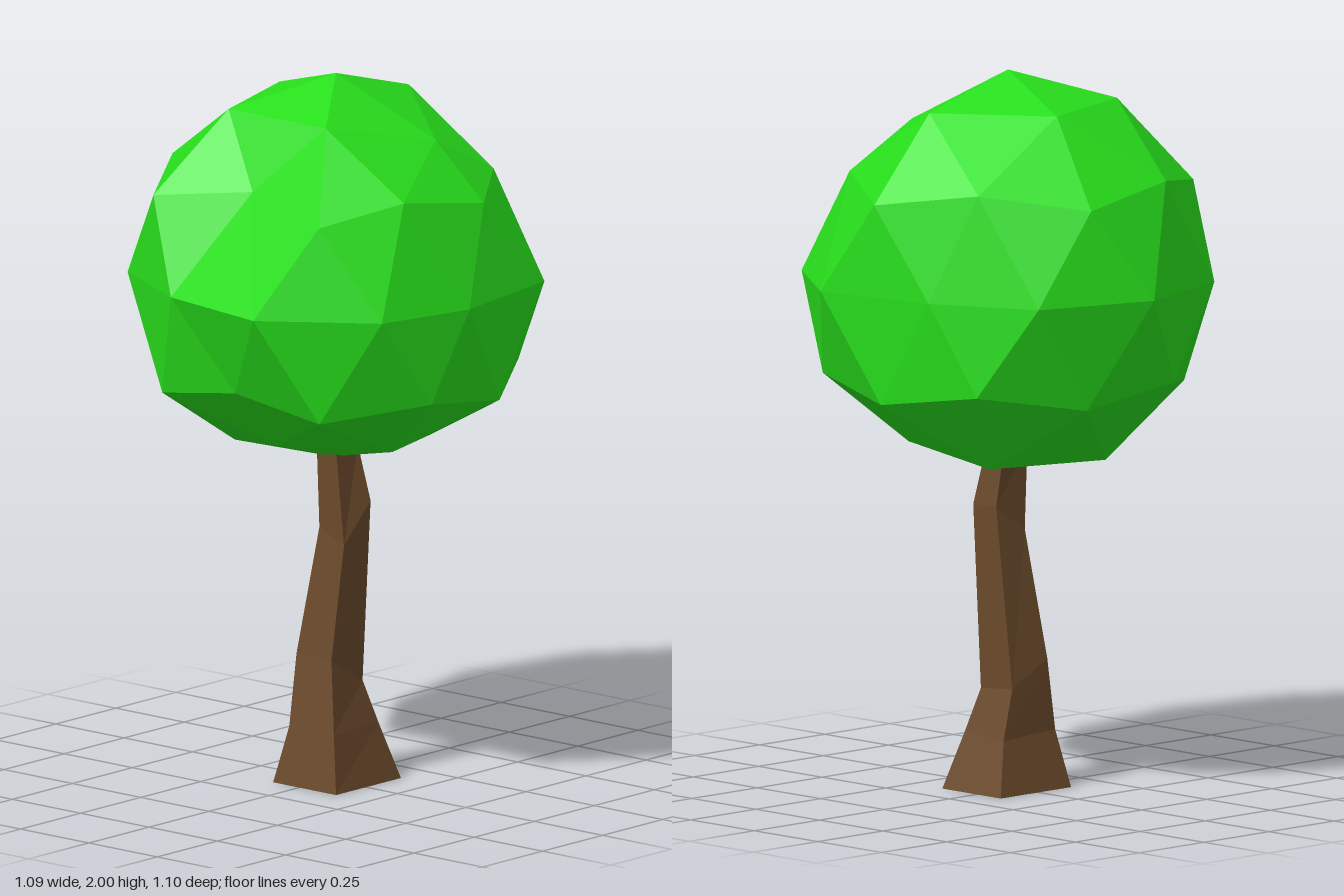
import * as THREE from 'three';

const R = 0.575, CY = 1.425, CZ = 0.025;

// Low-poly ball with a vertex at the top; a few vertices are pulled in as dents.
function foliage() {
  const geo = new THREE.IcosahedronGeometry(R, 1);
  geo.rotateZ(-Math.atan2(1, (1 + Math.sqrt(5)) / 2));
  geo.translate(0, CY, CZ);
  // [vertex of the regular ball, where it is moved]
  const dents = [
    [[0.09, 1.91, 0.31], [0.09, 1.84, 0.31]],
    [[0.40, 1.73, 0.31], [0.32, 1.72, 0.32]],
    [[0.16, 1.68, 0.51], [0.12, 1.68, 0.46]],
    [[-0.15, 1.73, 0.49], [-0.19, 1.73, 0.44]],
    [[0, 1.425, 0.60], [-0.035, 1.42, 0.545]],
    [[-0.49, 1.73, 0.025], [-0.33, 1.72, 0.01]],
    [[0.55, 1.425, -0.15], [0.48, 1.425, -0.153]],
    [[-0.55, 1.425, -0.15], [-0.485, 1.425, -0.153]],
    [[-0.51, 1.17, 0.025], [-0.42, 1.17, 0.025]],
    [[-0.30, 0.94, 0.025], [-0.24, 0.99, 0.025]],
    [[-0.09, 0.94, 0.31], [-0.09, 0.99, 0.31]],
    [[0.245, 0.94, 0.20], [0.22, 0.97, 0.19]],
    [[0, 0.85, 0.025], [0, 0.915, 0.01]],
  ].map(([a, b]) => [new THREE.Vector3(...a), new THREE.Vector3(...b)]);
  const pos = geo.attributes.position, v = new THREE.Vector3();
  for (let i = 0; i < pos.count; i++) {
    v.fromBufferAttribute(pos, i);
    const dent = dents.find(([from]) => from.distanceTo(v) < 0.06);
    if (dent) pos.setXYZ(i, dent[1].x, dent[1].y, dent[1].z);
  }
  geo.computeVertexNormals();
  return geo;
}

// Bent four-sided trunk, skinned over rings of corners:
// front -x, front +x, back +x, back -x.
function trunk() {
  const rings = [
    [[-0.125, 0, 0.135], [0.145, 0, 0.135], [0.145, 0, -0.095], [-0.125, 0, -0.095]],
    [[-0.10, 0.16, 0.105], [0.097, 0.16, 0.095], [0.10, 0.15, -0.06], [-0.10, 0.16, -0.058]],
    [[-0.07, 0.36, 0.07], [0.065, 0.28, 0.065], [0.065, 0.29, -0.058], [-0.07, 0.36, -0.058]],
    [[-0.035, 0.68, 0.085], [0.07, 0.79, 0.09], [0.07, 0.79, 0], [-0.035, 0.72, -0.005]],
    [[-0.04, 0.95, 0.06], [0.05, 0.95, 0.06], [0.05, 0.95, -0.01], [-0.04, 0.95, -0.01]],
  ];
  const index = [];
  const quad = (a, b, c, d) => index.push(a, b, c, a, c, d);
  for (let r = 0; r < rings.length - 1; r++) {
    for (let k = 0; k < 4; k++) {
      const n = (k + 1) % 4, o = r * 4;
      quad(o + k, o + n, o + 4 + n, o + 4 + k);
    }
  }
  const top = (rings.length - 1) * 4;
  quad(3, 2, 1, 0);
  quad(top, top + 1, top + 2, top + 3);
  const geo = new THREE.BufferGeometry();
  geo.setAttribute('position', new THREE.Float32BufferAttribute(rings.flat(2), 3));
  geo.setIndex(index);
  const flat = geo.toNonIndexed();
  flat.computeVertexNormals();
  return flat;
}

export function createModel() {
  const tree = new THREE.Group();
  tree.name = 'tree';
  const add = (name, geo, color) => {
    const mesh = new THREE.Mesh(geo, new THREE.MeshStandardMaterial({ color, flatShading: true }));
    mesh.name = name;
    tree.add(mesh);
  };
  add('trunk', trunk(), 0x6b4a2b);
  add('foliage', foliage(), 0x28e01c);
  return tree;
}
